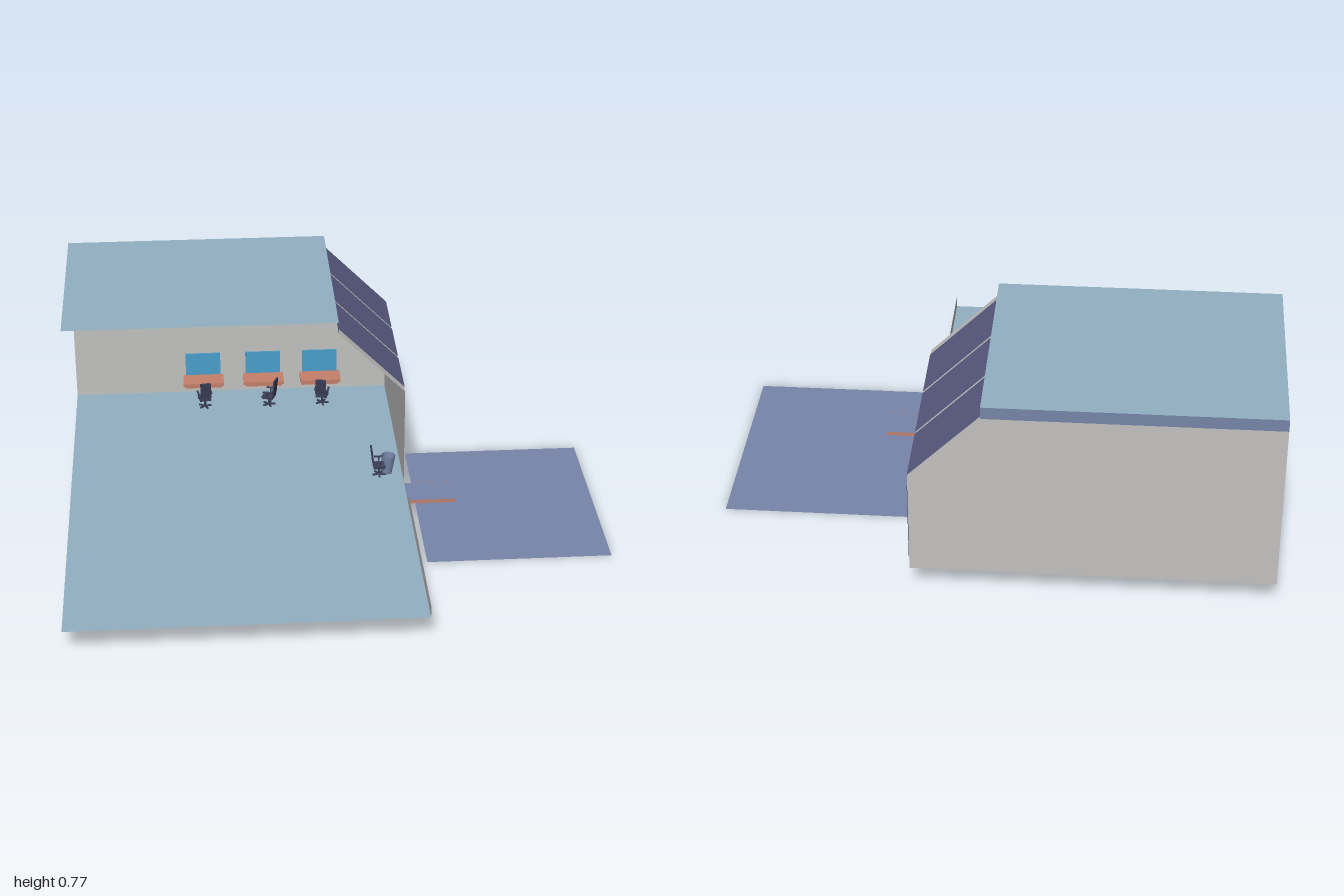
import * as THREE from 'three';

const mat = (name, color) => {
  const m = new THREE.MeshStandardMaterial({ color, side: THREE.DoubleSide });
  m.name = name;
  return m;
};

export function createModel() {
  const M = {
    deck: mat('pale blue deck', 0x93b1c2),
    trim: mat('slate blue trim', 0x7786a9),
    wall: mat('light grey wall', 0xc2c1c0),
    glass: mat('violet glass', 0x5c5d85),
    wood: mat('salmon wood', 0xc4806a),
    screen: mat('sky blue screen', 0x4a9fcc),
    chair: mat('dark chair fabric', 0x3c3f58),
  };
  const model = new THREE.Group();
  model.name = 'officePavilion';

  const add = (parent, name, geometry, material, x = 0, y = 0, z = 0) => {
    const mesh = new THREE.Mesh(geometry, material);
    mesh.name = name;
    mesh.position.set(x, y, z);
    parent.add(mesh);
    return mesh;
  };
  const box = (parent, name, m, w, h, d, x, y, z) =>
    add(parent, name, new THREE.BoxGeometry(w, h, d), m, x, y, z);

  // A flat sheet: the line a-b in the xy plane swept from z0 to z1
  const sheet = (name, m, a, b, z0, z1) => {
    const g = new THREE.BufferGeometry();
    const p = [...a, z0, ...a, z1, ...b, z1, ...b, z0];
    g.setAttribute('position', new THREE.Float32BufferAttribute(p, 3));
    // front turned to the upper or right side
    g.setIndex([0, 1, 2, 0, 2, 3]);
    if (a[1] === b[1]) g.setIndex([0, 1, 2, 0, 2, 3]);
    else g.setIndex([0, 2, 1, 0, 3, 2]);
    g.computeVertexNormals();
    if (g.attributes.normal.getX(0) + g.attributes.normal.getY(0) < 0) {
      g.setIndex(Array.from(g.index.array).reverse());
      g.computeVertexNormals();
    }
    return add(model, name, g, m);
  };

  // Floor, roof and ground plate
  const back = -0.89, front = 0.885, roofFront = -0.075, floorY = 0.095;
  sheet('floor', M.deck, [-1, floorY], [0.27, floorY], back, front);
  sheet('roof', M.deck, [-1, 0.775], [0.02, 0.775], back, roofFront);
  sheet('roofSideFascia', M.trim, [0.02, 0.73], [0.02, 0.775], back, roofFront);
  sheet('terrace', M.trim, [0.315, 0], [1, 0], -0.467, 0.367);
  sheet('curb', M.wall, [0.27, floorY], [0.27, 0.14], 0.095, front);

  // Back wall with its sloped corner, and the fascia above it
  const outline = [[-1, floorY], [0.27, floorY], [0.27, 0.48], [0.02, 0.73], [-1, 0.73]];
  const shape = new THREE.Shape(outline.map(([x, y]) => new THREE.Vector2(x, y)));
  add(model, 'backWall', new THREE.ShapeGeometry(shape), M.wall, 0, 0, back);
  add(model, 'roofBackFascia', new THREE.PlaneGeometry(1.02, 0.045), M.trim, -0.49, 0.7525, back);

  // Right facade: upright below, sloped above, three bays of glass in each
  sheet('facadeWall', M.wall, [0.27, floorY], [0.27, 0.48], back, roofFront);
  sheet('facadeSlope', M.wall, [0.27, 0.48], [0.02, 0.73], back, roofFront);
  for (let i = 0; i < 3; i++) {
    const z1 = -0.112 - i * 0.26, z0 = Math.max(z1 - 0.248, back);
    sheet('lowerWindow', M.glass, [0.273, 0.14], [0.273, 0.435], z0, z1);
    sheet('slopedWindow', M.glass, [0.272, 0.482], [0.022, 0.732], z0, z1);
  }

  // Entrance bridge
  sheet('bridgeTop', M.trim, [0.27, 0.094], [0.45, 0.094], -0.06, 0.072);
  for (const z of [-0.06, 0.072])
    add(model, 'bridgeEdge', new THREE.PlaneGeometry(0.18, 0.014), M.wood, 0.36, 0.088, z);

  // Swivel chair, its back on local +z
  const chair = (x, z, turn) => {
    const g = new THREE.Group();
    g.name = 'swivelChair';
    g.position.set(x, floorY, z);
    g.rotation.y = turn;
    for (let i = 0; i < 5; i++) {
      const a = (i * Math.PI * 2) / 5;
      const leg = box(g, 'chairFoot', M.chair, 0.027, 0.006, 0.006,
        Math.cos(a) * 0.013, 0.007, -Math.sin(a) * 0.013);
      leg.rotation.y = a;
    }
    add(g, 'chairPost', new THREE.CylinderGeometry(0.004, 0.004, 0.034, 8), M.chair, 0, 0.022, 0);
    box(g, 'chairSeat', M.chair, 0.046, 0.011, 0.045, 0, 0.043, 0);
    box(g, 'chairBack', M.chair, 0.042, 0.068, 0.007, 0, 0.088, 0.027).rotation.x = 0.12;
    for (const s of [-1, 1]) {
      box(g, 'armPost', M.chair, 0.004, 0.026, 0.005, s * 0.026, 0.054, 0);
      box(g, 'armRest', M.chair, 0.007, 0.005, 0.034, s * 0.026, 0.068, 0);
    }
    model.add(g);
  };

  // Row of desks with privacy screens along the back wall
  [-0.48, -0.235, -0.002].forEach((x, i) => {
    const desk = new THREE.Group();
    desk.name = 'desk';
    desk.position.set(x, 0, -0.83);
    box(desk, 'deskTop', M.wood, 0.165, 0.012, 0.085, 0, 0.174, 0);
    box(desk, 'deskApron', M.wood, 0.15, 0.016, 0.06, 0, 0.16, -0.005);
    box(desk, 'deskScreen', M.screen, 0.142, 0.115, 0.006, 0, 0.218, -0.045);
    model.add(desk);
    chair(x + (i === 1 ? 0.018 : 0.002), -0.745, [0.15, 1.2, -0.2][i]);
  });

  // Reception seat beside the entrance
  chair(0.18, -0.13, -Math.PI / 2);
  const tub = add(model, 'receptionTub',
    new THREE.CylinderGeometry(0.027, 0.019, 0.075, 12, 1, true), M.trim, 0.214, 0.139, -0.14);
  tub.rotation.z = -0.08;

  return model;
}
